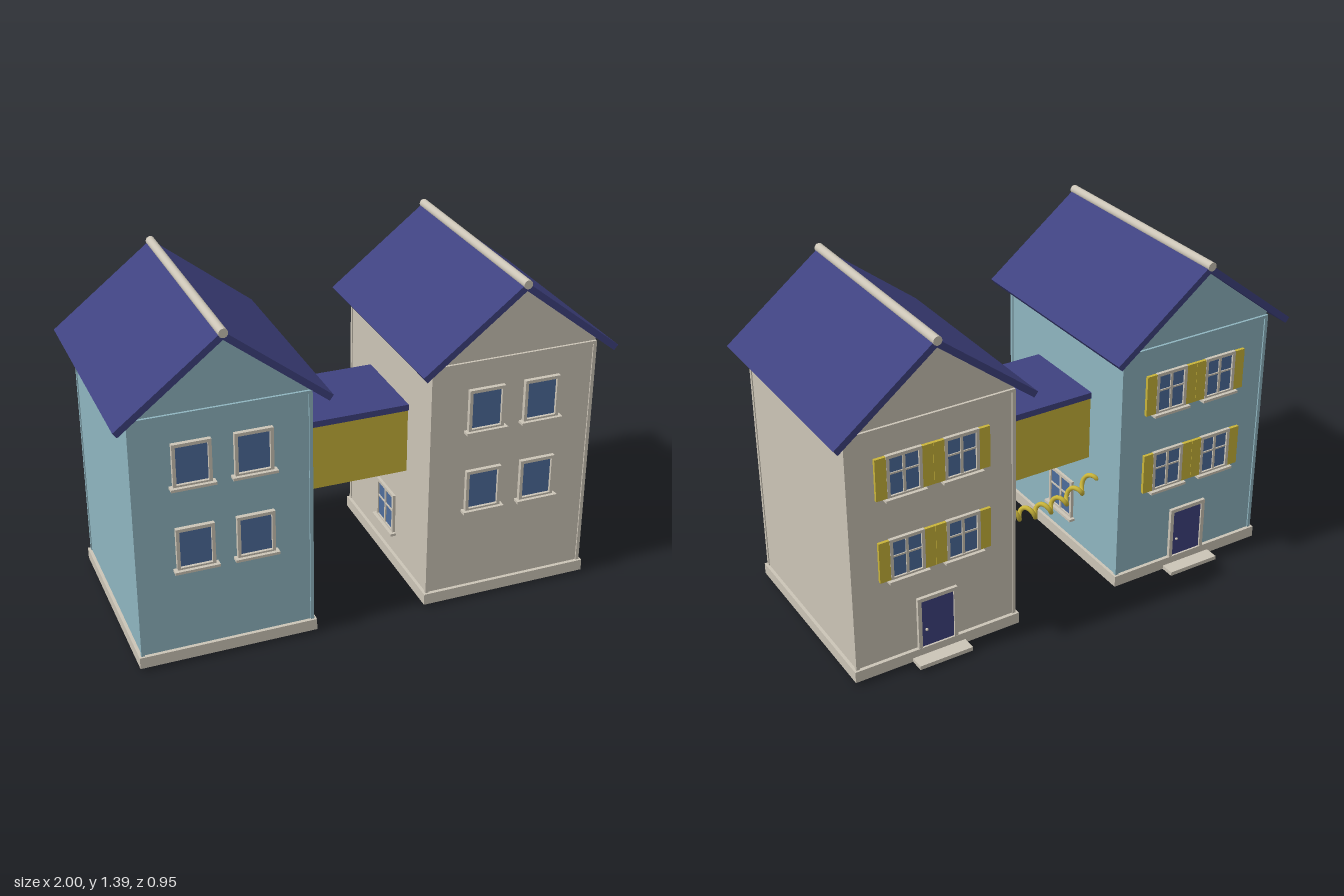
import * as THREE from 'three';

const mat = (name, color) => {
  const m = new THREE.MeshStandardMaterial({ color });
  m.name = name;
  return m;
};
const M = {
  blue: mat('pale blue wall', 0x8fb5c0),
  stone: mat('warm stone', 0xccc5b7),
  navy: mat('navy roof', 0x3f4280),
  yellow: mat('mustard', 0xc9b43a),
  glass: mat('window glass', 0x4d6c9c),
};
const CZ = 0.007; // depth centre of the houses
const HX = 0.588; // sideways centre of each house
const HALF_W = 0.345, HALF_D = 0.403;

function add(parent, name, geo, material, x = 0, y = 0, z = 0) {
  const m = new THREE.Mesh(geo, material);
  m.name = name;
  m.position.set(x, y, z);
  parent.add(m);
  return m;
}
const box = (parent, name, w, h, d, material, x, y, z) =>
  add(parent, name, new THREE.BoxGeometry(w, h, d), material, x, y, z);

function prism(points, depth) {
  const shape = new THREE.Shape(points.map(([x, y]) => new THREE.Vector2(x, y)));
  return new THREE.ExtrudeGeometry(shape, { depth, bevelEnabled: false }).translate(0, 0, -depth / 2);
}

// Rectangular frame with an opening, back at z = 0
function frameGeometry(w, h, border, depth) {
  const rect = (C, a, b) => new C([[-a, -b], [a, -b], [a, b], [-a, b]].map(p => new THREE.Vector2(...p)));
  const shape = rect(THREE.Shape, w / 2, h / 2);
  shape.holes.push(rect(THREE.Path, w / 2 - border, h / 2 - border));
  return new THREE.ExtrudeGeometry(shape, { depth, bevelEnabled: false });
}

// Window facing +z, wall plane at z = 0
function makeWindow({ w = 0.15, h = 0.18, depth = 0.018, bars = false, shutters = false }) {
  const g = new THREE.Group();
  g.name = 'window';
  add(g, 'windowFrame', frameGeometry(w, h, 0.013, depth), M.stone);
  box(g, 'windowGlass', w - 0.024, h - 0.024, 0.006, M.glass, 0, 0, 0.003);
  box(g, 'windowSill', w + 0.025, 0.011, depth + 0.014, M.stone, 0, -h / 2, (depth + 0.014) / 2);
  if (bars) {
    box(g, 'verticalBar', 0.011, h - 0.02, 0.009, M.stone, 0, 0, 0.0065);
    box(g, 'crossBar', w - 0.02, 0.007, 0.008, M.stone, 0, 0.012, 0.006);
  }
  if (shutters) {
    for (const s of [-1, 1])
      box(g, 'shutter', 0.045, h - 0.008, 0.013, M.yellow, s * (w / 2 + 0.0225), 0.002, 0.0065);
  }
  return g;
}

function makeDoor() {
  const g = new THREE.Group();
  g.name = 'door';
  const bar = (x) => box(g, 'doorJamb', 0.016, 0.29, 0.014, M.stone, x, 0.145, 0.007);
  bar(-0.078);
  bar(0.078);
  box(g, 'doorLintel', 0.14, 0.016, 0.014, M.stone, 0, 0.282, 0.007);
  box(g, 'doorPanel', 0.14, 0.274, 0.007, M.navy, 0, 0.137, 0.0035);
  add(g, 'doorKnob', new THREE.SphereGeometry(0.006, 12, 8), M.stone, -0.05, 0.14, 0.012);
  box(g, 'doorStep', 0.23, 0.017, 0.075, M.stone, 0, 0.022, 0.036);
  return g;
}

// side is +1 or -1 along x
function makeHouse(side, wall) {
  const g = new THREE.Group();
  g.name = side > 0 ? 'leftHouse' : 'rightHouse';
  g.position.set(side * HX, 0, CZ);

  // Walls with gables, plinth and trims
  add(g, 'walls', prism([[-HALF_W, 0.02], [HALF_W, 0.02], [HALF_W, 1.078], [0, 1.35], [-HALF_W, 1.078]],
    HALF_D * 2), wall);
  box(g, 'plinth', 0.716, 0.048, 0.836, M.stone, 0, 0.038, 0);
  for (const sx of [-1, 1]) for (const sz of [-1, 1])
    box(g, 'cornerTrim', 0.014, 1.0, 0.014, wall, sx * (HALF_W - 0.003), 0.56, sz * (HALF_D - 0.001));
  for (const s of [-1, 1])
    box(g, 'gableBand', HALF_W * 2, 0.012, 0.012, wall, 0, 1.06, s * (HALF_D + 0.004));

  // Pitched roof and ridge cap
  add(g, 'roof', prism([[0.41, 1.06], [0, 1.38], [-0.41, 1.06], [-0.394, 1.039], [0, 1.347], [0.394, 1.039]],
    0.928), M.navy);
  const ridge = add(g, 'ridgeCap', new THREE.CylinderGeometry(0.018, 0.018, 0.94, 16), M.stone, 0, 1.374, 0);
  ridge.rotation.x = Math.PI / 2;

  // Front and back windows
  for (const y of [0.505, 0.858]) for (const s of [-1, 1]) {
    const front = makeWindow({});
    front.position.set(s * 0.118, y, HALF_D);
    const back = makeWindow({ w: 0.145, depth: 0.014, bars: true, shutters: true });
    back.position.set(s * 0.118, y, -HALF_D);
    back.rotation.y = Math.PI;
    g.add(front, back);
  }

  // Window on the wall facing the other house
  const inner = makeWindow({ w: 0.17, depth: 0.012, bars: true });
  inner.position.set(-side * HALF_W, 0.248, 0);
  inner.rotation.y = -side * Math.PI / 2;
  g.add(inner);

  const door = makeDoor();
  door.position.z = -HALF_D;
  door.rotation.y = Math.PI;
  g.add(door);
  return g;
}

// Sagging coil strung between the houses
class Coil extends THREE.Curve {
  getPoint(t, target = new THREE.Vector3()) {
    const x = -0.24 + 0.475 * t;
    const a = (x / 0.0745) * Math.PI * 2;
    return target.set(x, 0.364 + 1.3 * x * x + 0.023 * Math.cos(a), -0.222 + 0.023 * Math.sin(a));
  }
}

export function createModel() {
  const model = new THREE.Group();
  model.name = 'linkedHouses';
  model.add(makeHouse(1, M.stone), makeHouse(-1, M.blue));

  // Raised passage between the houses
  box(model, 'passage', 0.49, 0.275, 0.376, M.yellow, 0, 0.648, 0.005);
  box(model, 'passageRoof', 0.49, 0.026, 0.39, M.navy, 0, 0.798, 0.005);

  const coil = new Coil();
  add(model, 'coil', new THREE.TubeGeometry(coil, 200, 0.0095, 10), M.yellow);
  for (const t of [0, 1])
    add(model, 'coilEnd', new THREE.SphereGeometry(0.0095, 10, 8), M.yellow).position.copy(coil.getPoint(t));
  return model;
}
